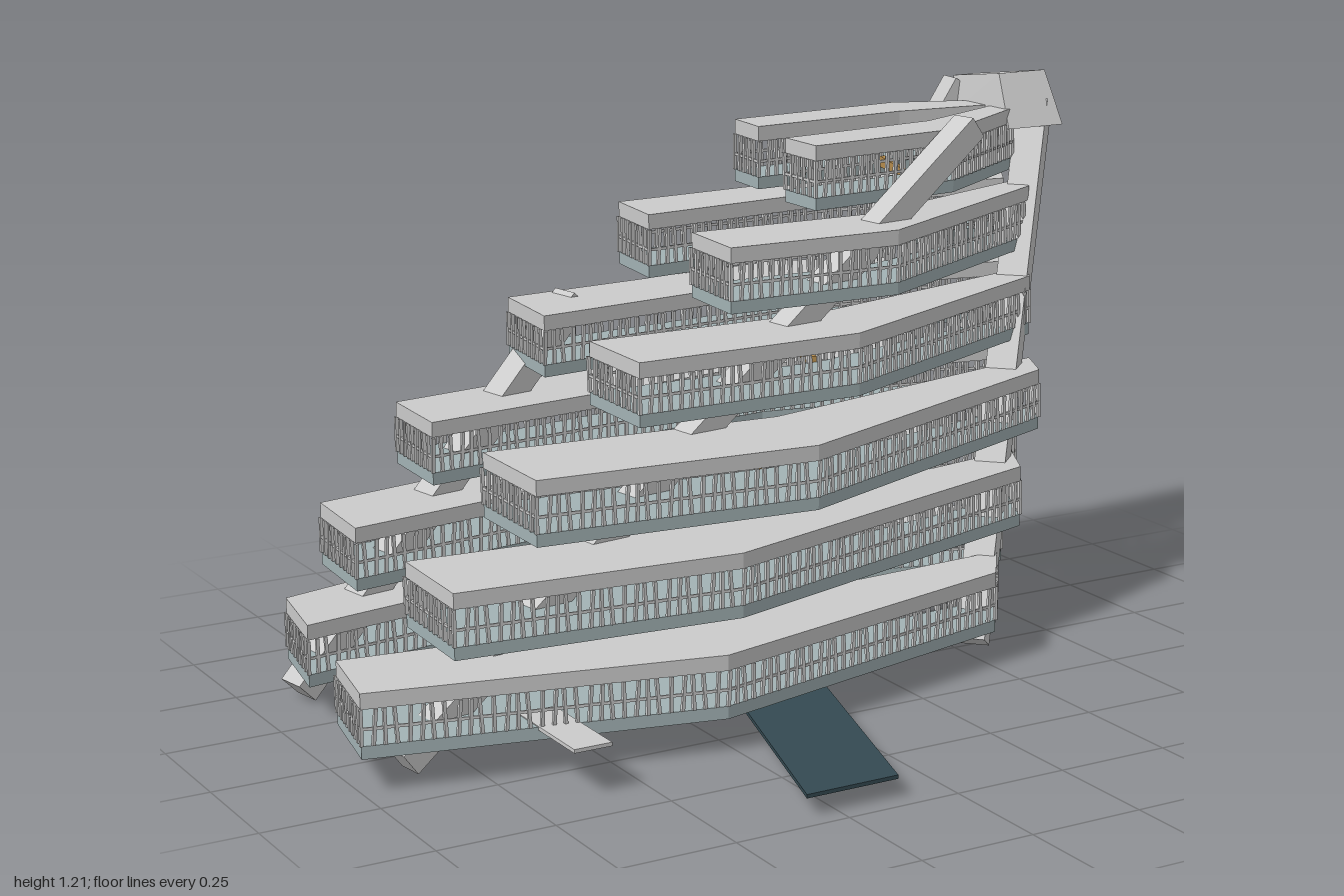
import * as THREE from 'three';
import { mergeGeometries } from 'three/addons/utils/BufferGeometryUtils.js';

const mat = (color) => new THREE.MeshStandardMaterial({ color, flatShading: true });
const concrete = mat(0xcccccc), floorMat = mat(0xa3b3b5), wood = mat(0xb98f4e), dark = mat(0x344a52);
const V = (x, y, z) => new THREE.Vector3(x, y, z);

// Box of section w x h running from a to b
function beamGeo(a, b, w, h) {
  const g = new THREE.BoxGeometry(w, h, a.distanceTo(b));
  const up = Math.abs(b.y - a.y) > 0.99 * a.distanceTo(b) ? V(1, 0, 0) : V(0, 1, 0);
  const m = new THREE.Matrix4().lookAt(b, a, up);
  m.setPosition(a.clone().add(b).multiplyScalar(0.5));
  return g.applyMatrix4(m);
}

function named(name, geo, material) {
  const mesh = new THREE.Mesh(geo, material);
  mesh.name = name;
  return mesh;
}

// Horizontal slab from an [x, z] outline
function slabGeo(pts, y, h) {
  const shape = new THREE.Shape(pts.map(([x, z]) => new THREE.Vector2(x, -z)));
  const g = new THREE.ExtrudeGeometry(shape, { depth: h, bevelEnabled: false });
  return g.rotateX(-Math.PI / 2).translate(0, y, 0);
}

// One storey: floor, roof, and a screen of thin bars with a rail all round
function storey(name, pts, y0, y1) {
  const g = new THREE.Group();
  g.name = name;
  const floorTop = y0 + 0.027, roofBottom = y1 - 0.033, bars = [];
  g.add(named('floorSlab', slabGeo(pts, y0, 0.027), floorMat));
  g.add(named('roofSlab', slabGeo(pts, roofBottom, 0.033), concrete));
  pts.forEach(([x0, z0], i) => {
    const [x1, z1] = pts[(i + 1) % pts.length];
    const len = Math.hypot(x1 - x0, z1 - z0), n = Math.max(2, Math.round(len / 0.024));
    for (let k = 0; k < n; k++) {
      const t = k / n, lean = 0.006 / len * Math.sin(k * 1.7 + i);
      const x = x0 + (x1 - x0) * t, z = z0 + (z1 - z0) * t;
      bars.push(beamGeo(V(x, floorTop, z),
        V(x + (x1 - x0) * lean, roofBottom, z + (z1 - z0) * lean), 0.007, 0.007));
    }
    const ym = floorTop + 0.035;
    bars.push(beamGeo(V(x0, ym, z0), V(x1, ym, z1), 0.004, 0.006));
  });
  g.add(named('barScreen', mergeGeometries(bars), concrete));
  return g;
}

const heights = [[0.075, 0.21], [0.26, 0.397], [0.45, 0.587], [0.645, 0.78], [0.83, 0.97], [1.0, 1.14]];

// Outlines: outer edge left, bend, right, then inner edge right, bend, left
const frontWing = [
  [[-1, 0.165], [-0.27, 0.325], [0.515, 0.133], [0.61, 0], [-0.2, 0.05], [-0.96, -0.045]],
  [[-0.82, 0.215], [-0.2, 0.265], [0.67, 0], [0.735, -0.13], [-0.12, 0.02], [-0.81, -0.03]],
  [[-0.62, 0.18], [0, 0.23], [0.78, -0.09], [0.83, -0.2], [0.05, -0.02], [-0.615, -0.07]],
  [[-0.355, 0.12], [0.17, 0.115], [0.82, -0.19], [0.87, -0.28], [0.2, -0.1], [-0.35, -0.105]],
  [[-0.085, 0.02], [0.32, 0.03], [0.87, -0.27], [0.91, -0.36], [0.36, -0.16], [-0.07, -0.17]],
  [[0.2, -0.11], [0.58, -0.15], [0.87, -0.34], [0.9, -0.42], [0.6, -0.28], [0.2, -0.235]],
];
const rearWing = [
  [[-0.885, -0.485], [0, -0.705], [0.84, -0.31], [0.76, -0.24], [0.05, -0.45], [-0.92, -0.285]],
  [[-0.785, -0.52], [0.13, -0.692], [0.91, -0.36], [0.83, -0.29], [0.15, -0.45], [-0.8, -0.3]],
  [[-0.59, -0.55], [0.27, -0.67], [0.91, -0.41], [0.84, -0.34], [0.27, -0.45], [-0.6, -0.345]],
  [[-0.3, -0.585], [0.42, -0.635], [0.93, -0.42], [0.87, -0.36], [0.4, -0.45], [-0.32, -0.37]],
  [[-0.03, -0.57], [0.57, -0.603], [0.92, -0.45], [0.88, -0.385], [0.52, -0.45], [-0.05, -0.395]],
  [[0.24, -0.52], [0.68, -0.555], [0.88, -0.48], [0.85, -0.41], [0.62, -0.43], [0.23, -0.4]],
];

export function createModel() {
  const model = new THREE.Group();
  model.name = 'terracedBuilding';

  // Two fanned wings of stepped storeys
  heights.forEach(([y0, y1], i) => {
    model.add(storey('frontStorey' + (i + 1), frontWing[i], y0, y1));
    model.add(storey('rearStorey' + (i + 1), rearWing[i], y0, y1));
  });

  // Leaning legs and struts
  const legs = [
    ['frontLeg', [0.51, 0.03, 0.05], [0.96, 1.14, -0.38], 0.07, 0.06],
    ['rearLeg', [0.15, 0.03, -0.62], [0.87, 1.17, -0.55], 0.06, 0.07],
    ['frontStrut', [-0.88, 0.025, 0.09], [0.6, 1.15, -0.12], 0.06, 0.055],
    ['rearStrut', [-0.89, 0.025, -0.42], [-0.16, 0.77, -0.55], 0.07, 0.055],
  ];
  for (const [name, a, b, w, h] of legs) model.add(named(name, beamGeo(V(...a), V(...b), w, h), concrete));

  // Tapered head block joining the two tall legs
  const head = new THREE.BoxGeometry(0.15, 0.12, 0.24);
  const p = head.attributes.position;
  for (let i = 0; i < p.count; i++) {
    const back = p.getZ(i) < 0, top = p.getY(i) > 0;
    if (back) p.setX(i, p.getX(i) * 0.5 - 0.04);
    if (top && !back) p.setZ(i, 0.06);
    if (top) p.setX(i, p.getX(i) * 0.85);
    if (top && back) p.setY(i, 0.035);
  }
  head.computeVertexNormals();
  const headBlock = named('headBlock', head, concrete);
  headBlock.position.set(0.915, 1.157, -0.43);
  model.add(headBlock);

  // Footbridges between the wings
  const bridges = [
    [-0.19, 0.04, -0.07, -0.45, 0.103], [0.01, -0.02, 0.14, -0.45, 0.48],
    [0.19, -0.1, 0.3, -0.45, 0.673], [0.525, -0.27, 0.58, -0.45, 1.03],
  ];
  for (const [x0, z0, x1, z1, y] of bridges)
    model.add(named('footbridge', beamGeo(V(x0, y, z0), V(x1, y, z1), 0.012, 0.024), wood));

  // Entrance path and small landing
  model.add(named('entrancePath',
    slabGeo([[-0.318, 0.705], [-0.11, 0.705], [0.235, -0.43], [0.027, -0.43]], 0.04, 0.008), dark));
  model.add(named('landing',
    slabGeo([[-0.655, 0.395], [-0.572, 0.395], [-0.572, 0.15], [-0.655, 0.15]], 0.096, 0.008), concrete));
  return model;
}
